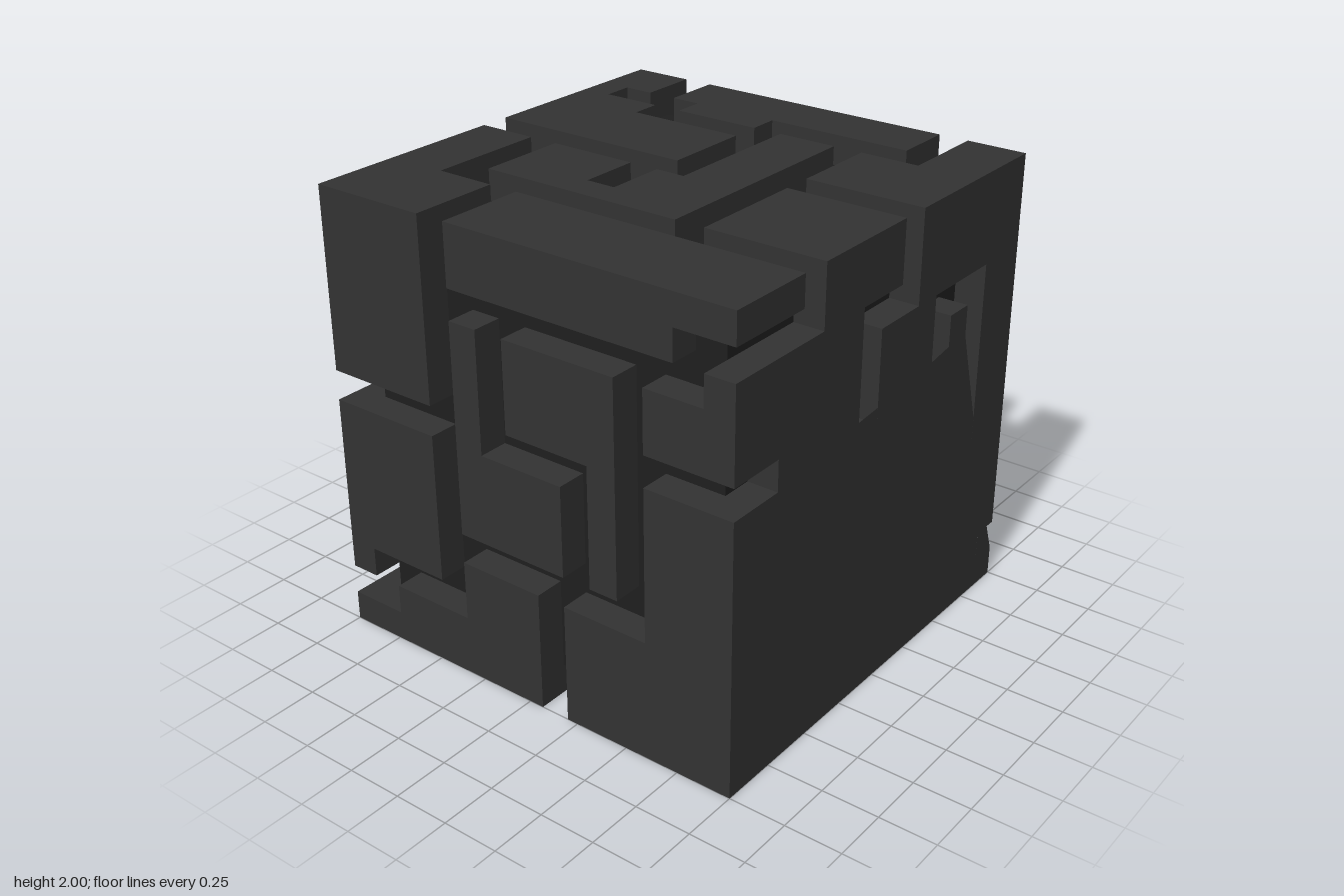
import * as THREE from 'three';

// The cube is a 15-cell grid: a dark core under a one-cell shell with carved channels.
const N = 15, C = 2 / N;

// Maps face coordinates (a, b) to a shell cell.
const FACES = {
  front: (a, b) => [a, b, N - 1],
  back: (a, b) => [a, b, 0],
  top: (a, b) => [a, N - 1, b],
  bottom: (a, b) => [a, 0, b],
  right: (a, b) => [N - 1, b, a],
  left: (a, b) => [0, b, a],
};

// Channels per face as inclusive cell ranges [a0, a1, b0, b1].
const CHANNELS = {
  front: [
    [4, 4, 2, 14], [4, 13, 12, 12], [13, 14, 13, 13], [0, 4, 8, 8], [1, 4, 2, 2], [0, 1, 1, 1],
    [4, 11, 4, 4], [11, 11, 4, 11], [8, 8, 0, 3], [11, 14, 9, 9],
    [6, 6, 8, 11], [6, 9, 8, 8], [9, 9, 5, 8],
  ],
  top: [
    [2, 2, 0, 2], [1, 3, 2, 2], [3, 7, 3, 3], [7, 7, 2, 7], [7, 12, 2, 2], [12, 12, 0, 2],
    [0, 7, 7, 7], [10, 10, 3, 10], [2, 14, 11, 11], [11, 14, 6, 6],
    [2, 2, 7, 11], [6, 6, 8, 9], [4, 4, 12, 14],
  ],
  right: [
    [11, 14, 13, 13], [11, 11, 13, 14], [13, 14, 9, 9],
    [6, 6, 12, 14], [6, 8, 12, 12], [8, 8, 9, 12],
    [2, 4, 11, 11], [4, 4, 9, 11], [2, 2, 6, 11],
  ],
  left: [
    [7, 7, 13, 14], [7, 12, 13, 13], [12, 12, 8, 13], [6, 14, 8, 8], [6, 6, 0, 8],
    [6, 13, 3, 3], [13, 13, 1, 3], [13, 14, 1, 1],
  ],
  back: [
    [12, 12, 1, 14], [12, 14, 1, 1], [2, 2, 3, 14], [2, 2, 0, 1], [2, 12, 7, 7], [7, 7, 0, 7],
  ],
  bottom: [
    [10, 10, 2, 11], [4, 10, 11, 11], [8, 8, 11, 14], [4, 4, 8, 11], [2, 4, 8, 8],
    [2, 2, 0, 8], [0, 2, 6, 6], [2, 10, 2, 2], [7, 7, 0, 2],
  ],
};

// Small pierced grilles: '#' is cut; the first character is the highest x.
const GRILLES = [
  { face: 'back', a: 10, b: 13, rows: ['##...##', '..#.#..', '.##.##.', '#.#.#.#', '##...##'] },
  { face: 'bottom', a: 8, b: 7, rows: ['###', '#..', '###', '.#.'] },
];

// The six quad sides of a cell: normal axis, sign.
const SIDES = [[0, 1], [0, -1], [1, 1], [1, -1], [2, 1], [2, -1]];

function addQuad(out, cell, axis, sign) {
  const u = (axis + 1) % 3, v = (axis + 2) % 3;
  const corner = (du, dv) => {
    const p = [...cell];
    if (sign > 0) p[axis] += 1;
    p[u] += du;
    p[v] += dv;
    return [p[0] * C - 1, p[1] * C, p[2] * C - 1];
  };
  const q = [corner(0, 0), corner(1, 0), corner(1, 1), corner(0, 1)];
  if (sign < 0) q.reverse();
  for (const i of [0, 1, 2, 0, 2, 3]) out.push(...q[i]);
}

export function createModel() {
  const model = new THREE.Group();
  model.name = 'mazeCube';
  const panelMat = new THREE.MeshStandardMaterial({ color: 0x333333 });
  const coverMat = new THREE.MeshStandardMaterial({ color: 0x333333, side: THREE.DoubleSide });
  const coreMat = new THREE.MeshStandardMaterial({ color: 0x1f1f1f });

  // Carve the channels and grilles
  const cut = new Set();
  for (const [face, list] of Object.entries(CHANNELS))
    for (const [a0, a1, b0, b1] of list)
      for (let a = a0; a <= a1; a++)
        for (let b = b0; b <= b1; b++) cut.add(FACES[face](a, b).join());
  for (const { face, a, b, rows } of GRILLES)
    rows.forEach((row, j) => [...row].forEach((ch, i) => {
      if (ch === '#') cut.add(FACES[face](a - i, b - j).join());
    }));

  // Core forming the channel floors
  const core = new THREE.Mesh(new THREE.BoxGeometry(2 - 2 * C, 2 - 2 * C, 2 - 2 * C), coreMat);
  core.position.y = 1;
  core.name = 'core';
  model.add(core);

  // Raised panels, one mesh per face; edge cells belong to the first face that claims them
  const solid = (p) => p.every((k) => k >= 0 && k < N) && !cut.has(p.join());
  const done = new Set();
  for (const [face, map] of Object.entries(FACES)) {
    const out = [];
    for (let a = 0; a < N; a++) for (let b = 0; b < N; b++) {
      const cell = map(a, b), key = cell.join();
      if (cut.has(key) || done.has(key)) continue;
      done.add(key);
      for (const [axis, sign] of SIDES) {
        const next = [...cell];
        next[axis] += sign;
        if (!solid(next)) addQuad(out, cell, axis, sign);
      }
    }
    const geo = new THREE.BufferGeometry();
    geo.setAttribute('position', new THREE.Float32BufferAttribute(out, 3));
    geo.computeVertexNormals();
    const mesh = new THREE.Mesh(geo, panelMat);
    mesh.name = face + 'Panels';
    model.add(mesh);
  }

  // Slanted skins closing the lower ends of the right-hand channels, as [z, y] corners
  const covers = [
    [[0.2, 1.2], [0.067, 1.2], [0.067, 1.27], [0.2, 1.26]],
    [[-0.333, 1.2], [-0.467, 1.2], [-0.467, 1.33], [-0.333, 1.31]],
    [[-0.6, 0.8], [-0.733, 0.8], [-0.733, 0.9], [-0.6, 1.333]],
    [[-0.867, 0.133], [-1, 0.133], [-0.95, 0.267], [-0.867, 0.267]],
  ];
  for (const pts of covers) {
    const shape = new THREE.Shape(pts.map(([z, y]) => new THREE.Vector2(-z, y)));
    const skin = new THREE.Mesh(new THREE.ShapeGeometry(shape).rotateY(Math.PI / 2), coverMat);
    skin.position.x = 1;
    skin.name = 'channelSkin';
    model.add(skin);
  }
  return model;
}
